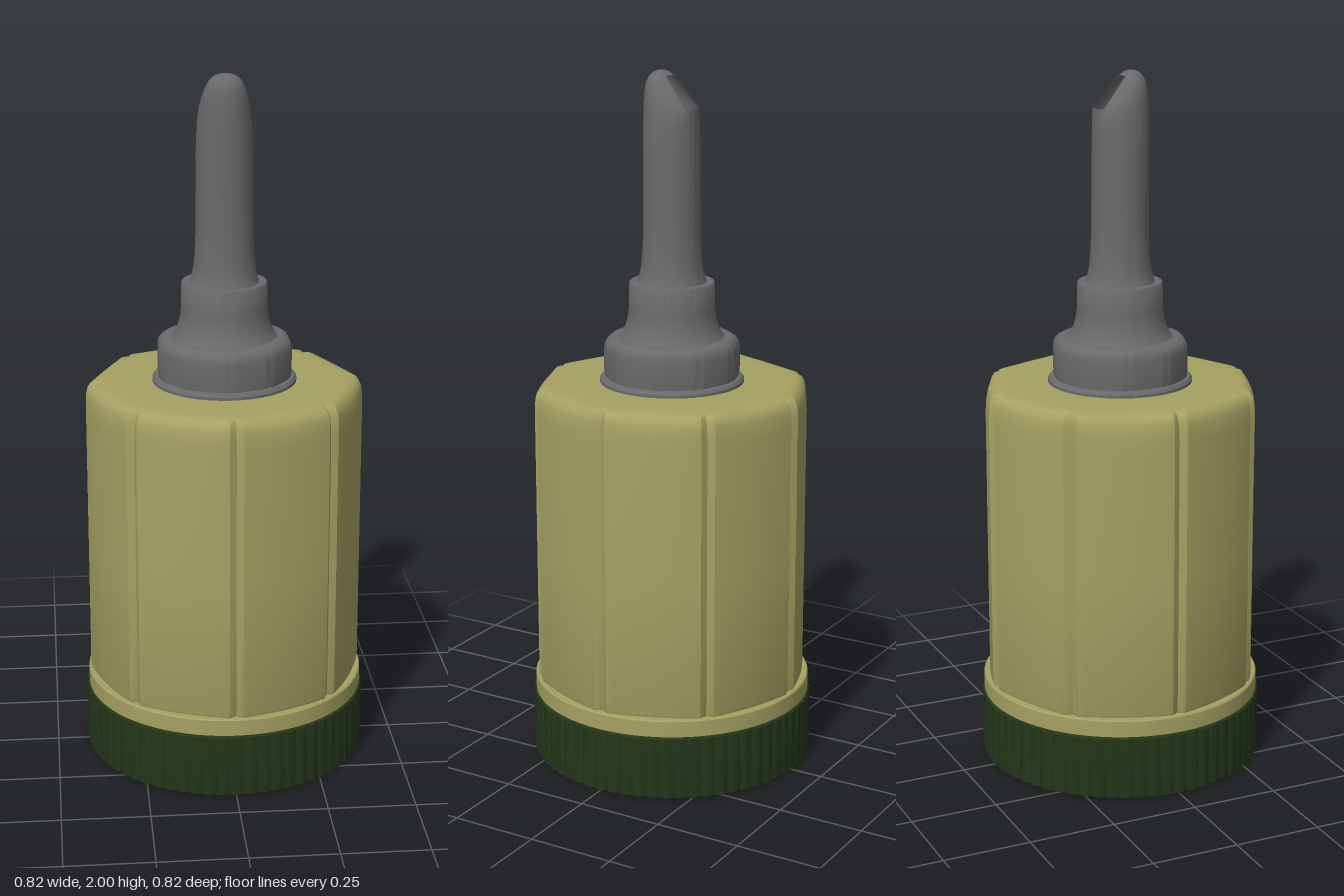
import * as THREE from 'three';
import { toCreasedNormals } from 'three/addons/utils/BufferGeometryUtils.js';

const TAU = Math.PI * 2;

// Skin closed rings, listed from bottom to top. point(ring, angle) gives [x, y, z];
// angle 0 faces +z. skip(ring index, angle) leaves a quad out.
function loft(rings, sides, point, crease = 0.6, skip = () => false) {
  const positions = [], index = [];
  rings.forEach((ring) => {
    for (let j = 0; j < sides; j++) positions.push(...point(ring, (j / sides) * TAU));
  });
  for (let i = 0; i < rings.length - 1; i++) {
    for (let j = 0; j < sides; j++) {
      if (skip(i, ((j + 0.5) / sides) * TAU)) continue;
      const k = (j + 1) % sides;
      const a = i * sides + j, b = i * sides + k;
      index.push(a, b, b + sides, a, b + sides, a + sides);
    }
  }
  const geometry = new THREE.BufferGeometry();
  geometry.setAttribute('position', new THREE.Float32BufferAttribute(positions, 3));
  geometry.setIndex(index);
  return toCreasedNormals(geometry, crease);
}

// Radius factor of a softly faceted circle: 1 at the ridges, less on the flats
function facet(angle, count, amount) {
  const step = TAU / count;
  const a = angle - Math.round(angle / step) * step - Math.sign(angle - Math.round(angle / step) * step) * step / 2;
  return 1 + amount * (Math.cos(step / 2) / Math.cos(a) - 1);
}

// Ring given as [radius, y, facet amount]
const faceted = (count) => ([r, y, amount = 0], a) => {
  const s = r * facet(a, count, amount);
  return [s * Math.sin(a), y, s * Math.cos(a)];
};

export function createModel() {
  const group = new THREE.Group();
  const olive = new THREE.MeshStandardMaterial({ color: 0xa5a162 });
  const green = new THREE.MeshStandardMaterial({ color: 0x24351a });
  const grey = new THREE.MeshStandardMaterial({ color: 0x6a6a6a, side: THREE.DoubleSide });

  const add = (name, geometry, material) => {
    const mesh = new THREE.Mesh(geometry, material);
    mesh.name = name;
    group.add(mesh);
  };

  // Ribbed screw cap at the bottom
  const ribs = 64;
  add('baseCap', loft(
    [[0, 0, 0], [0.398, 0, 0], [0.404, 0.006, 1], [0.404, 0.184, 1], [0.398, 0.19, 0], [0, 0.19, 0]],
    ribs * 6,
    ([r, y, rib], a) => {
      const s = r + rib * 0.006 * Math.sqrt(Math.abs(Math.cos((a * ribs) / 2))) - rib * 0.001;
      return [s * Math.sin(a), y, s * Math.cos(a)];
    }, 0.7), green);

  // Plain round band between cap and body
  add('lowerBand', loft(
    [[0, 0.19], [0.403, 0.19], [0.403, 0.236], [0.4, 0.24], [0, 0.24]], 96, faceted(8)), olive);

  // Softly eight-sided body with a rounded shoulder
  const body = [[0.385, 0.23, 0.5], [0.396, 0.236, 0.5], [0.401, 0.25, 0.5], [0.401, 0.65, 0.5], [0.401, 1.03, 0.5],
    [0.401, 1.06, 0.55], [0.4, 1.085, 0.65], [0.397, 1.1, 0.75], [0.39, 1.112, 0.9],
    [0.378, 1.117, 0.9], [0.35, 1.119, 0.6], [0.28, 1.12, 0.2], [0.12, 1.12], [0, 1.12]];
  add('body', loft(body, 128, faceted(8), 0.7), olive);

  // Collar: round flange below a faceted grip
  add('collarFlange', loft(
    [[0.12, 1.118], [0.206, 1.118], [0.206, 1.128], [0.2, 1.136], [0.185, 1.138]], 96, faceted(10)), grey);
  add('collar', loft(
    [[0.194, 1.134, 0.6], [0.196, 1.16, 0.6], [0.196, 1.215, 0.6], [0.194, 1.23, 0.6],
      [0.188, 1.242, 0.6], [0.178, 1.249, 0.5], [0.165, 1.251, 0.2], [0.14, 1.251]],
    120, faceted(10), 0.7), grey);

  // Neck flaring into the collar, with a flat rim
  add('neck', loft(
    [[0.15, 1.25], [0.141, 1.262], [0.133, 1.28], [0.126, 1.305], [0.122, 1.335], [0.122, 1.404],
      [0.119, 1.409], [0.095, 1.409]], 96, faceted(8), 0.7), grey);

  // Hollow nozzle: each ring is [y, half width, front z, back z], cut slanted at the back
  const nozzle = [[1.405, 0.1, 0.1, -0.1], [1.42, 0.094, 0.094, -0.094], [1.45, 0.088, 0.088, -0.088],
    [1.49, 0.084, 0.084, -0.084], [1.55, 0.081, 0.081, -0.081], [1.7, 0.08, 0.081, -0.08],
    [1.8, 0.079, 0.081, -0.079], [1.86, 0.076, 0.081, -0.078], [1.9, 0.071, 0.081, -0.077],
    [1.92, 0.067, 0.08, -0.058], [1.94, 0.062, 0.079, -0.04], [1.96, 0.055, 0.076, -0.022],
    [1.975, 0.048, 0.071, -0.008], [1.986, 0.04, 0.064, 0.004], [1.994, 0.029, 0.056, 0.014],
    [1.999, 0.014, 0.045, 0.025], [2, 0, 0.036, 0.036]];
  const cutStart = 8, cutEnd = 13;
  add('nozzle', loft(nozzle, 72,
    ([y, w, front, back], a) =>
      [w * Math.sin(a), y, (front + back) / 2 + ((front - back) / 2) * Math.cos(a)],
    0.7,
    (i, a) => i >= cutStart && i < cutEnd && Math.abs(a - Math.PI) < 0.55), grey);

  return group;
}
